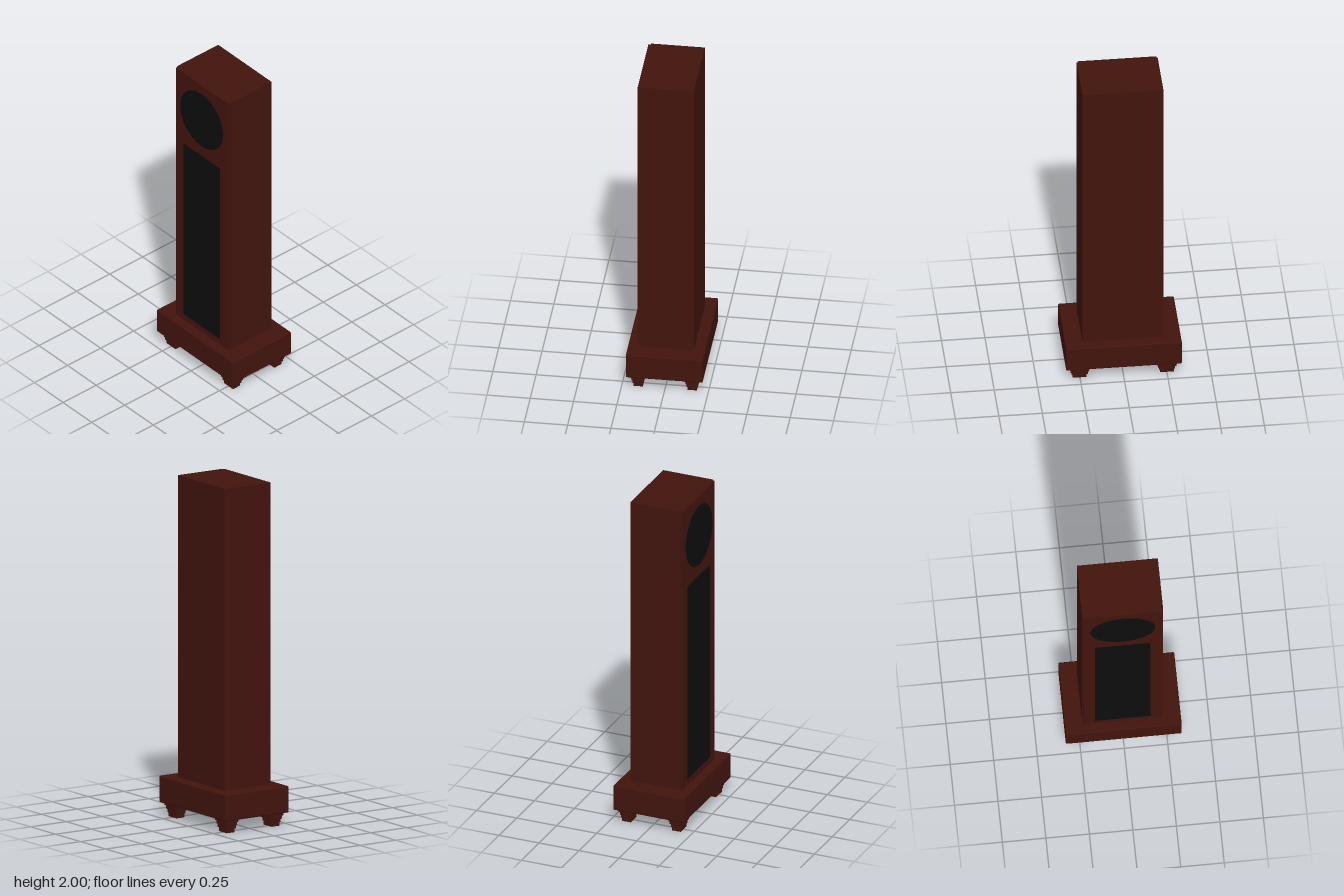
import * as THREE from 'three';
import { RoundedBoxGeometry } from 'three/addons/geometries/RoundedBoxGeometry.js';

export function createModel() {
  const model = new THREE.Group();
  model.name = 'floorSpeaker';
  const wood = new THREE.MeshStandardMaterial({ color: 0x42140d });
  const cloth = new THREE.MeshStandardMaterial({ color: 0x0d0d0d });

  function add(name, geometry, material, x, y, z, parent = model) {
    const mesh = new THREE.Mesh(geometry, material);
    mesh.name = name;
    mesh.position.set(x, y, z);
    parent.add(mesh);
    return mesh;
  }

  // Box given by width, depth, bottom, top and centre, with softened edges
  function block(name, w, d, y0, y1, x, z, radius, parent) {
    return add(name, new RoundedBoxGeometry(w, y1 - y0, d, 3, radius), wood, x, (y0 + y1) / 2, z, parent);
  }

  // Plinth and tall cabinet
  block('plinth', 0.666, 0.444, 0.08, 0.235, 0, 0, 0.008);
  block('cabinet', 0.466, 0.311, 0.23, 2, 0, -0.0025, 0.002);

  // Front baffle with a rectangular opening for the grille
  const baffle = new THREE.Shape([
    [-0.227, 0.235], [0.227, 0.235], [0.227, 1.997], [-0.227, 1.997],
  ].map(([x, y]) => new THREE.Vector2(x, y)));
  baffle.holes.push(new THREE.Path([
    [-0.16, 0.275], [-0.16, 1.495], [0.16, 1.495], [0.16, 0.275],
  ].map(([x, y]) => new THREE.Vector2(x, y))));
  add('frontBaffle', new THREE.ExtrudeGeometry(baffle, { depth: 0.015, bevelEnabled: false }), wood, 0, 0, 0.152);

  // Flush grille and round driver cover
  add('grille', new THREE.BoxGeometry(0.32, 1.22, 0.015), cloth, 0, 0.885, 0.16);
  const disc = new THREE.CylinderGeometry(0.185, 0.185, 0.008, 64).rotateX(Math.PI / 2);
  add('driverCover', disc, cloth, 0, 1.753, 0.167);

  // Four feet, each stepping inwards towards the floor
  for (const sx of [-1, 1]) {
    for (const sz of [-1, 1]) {
      const foot = new THREE.Group();
      foot.name = 'foot';
      foot.position.set(sx * 0.251, 0, sz * 0.156);
      model.add(foot);
      for (let i = 0; i < 4; i++) {
        const w = 0.08 + i * 0.0133;
        block('footStep', w, w / 1.45, 0.003 + i * 0.02 - (i ? 0 : 0.003), 0.023 + i * 0.02, 0, 0, 0.002, foot);
      }
    }
  }
  return model;
}
